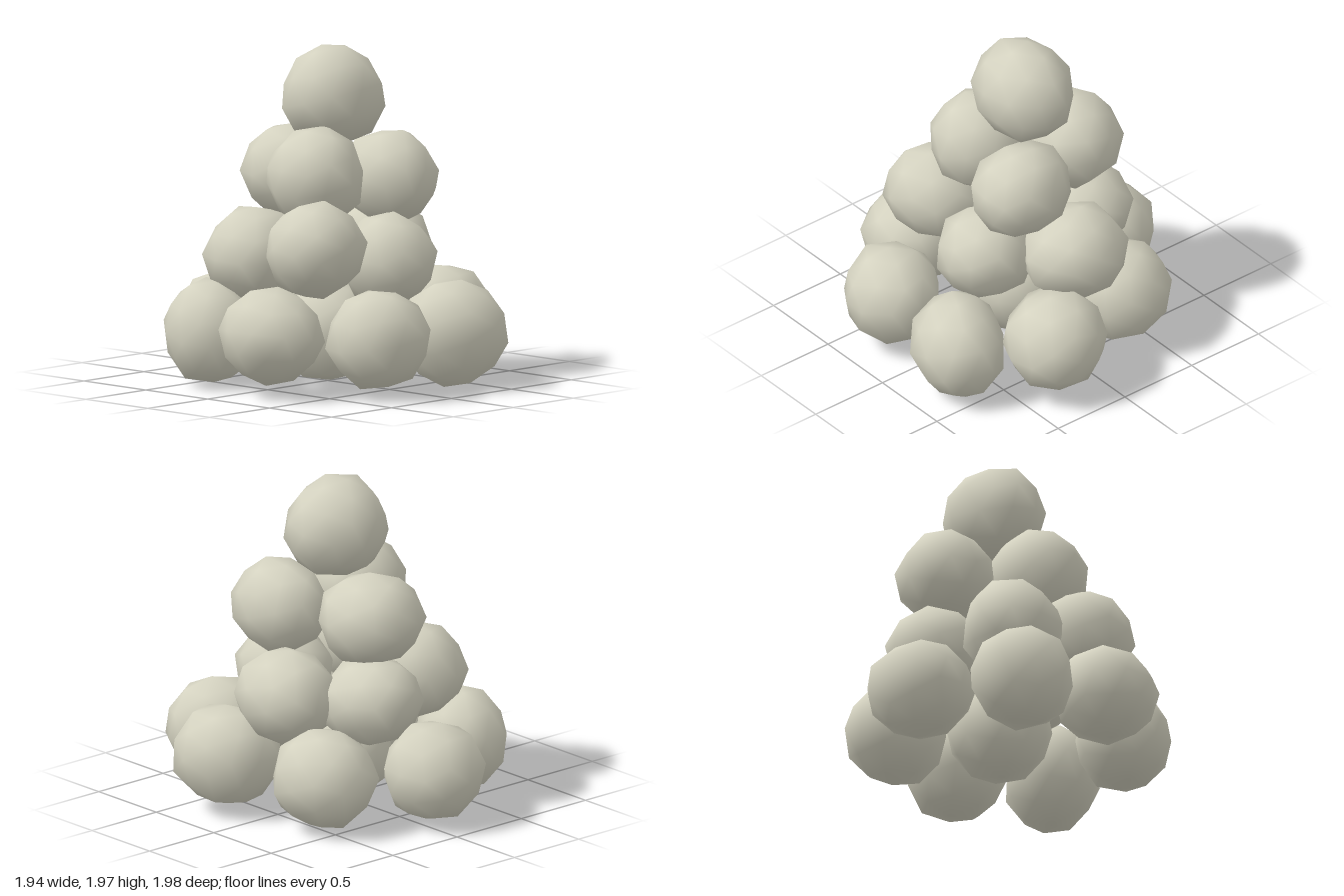
import * as THREE from 'three';
import { mergeVertices } from 'three/addons/utils/BufferGeometryUtils.js';

// Small seeded generator, returns 0..1
function seeded(seed) {
  let s = seed * 7919 + 17;
  return () => {
    s = (s * 16807) % 2147483647;
    return s / 2147483647;
  };
}

// Rough boulder: a low-poly ball with jittered vertices, skewed and fitted to a given size
function boulderGeometry(size, skew, seed) {
  const rand = seeded(seed);
  for (let i = 0; i < 5; i++) rand();
  let geo = new THREE.IcosahedronGeometry(1, 1);
  geo.deleteAttribute('normal');
  geo.deleteAttribute('uv');
  geo = mergeVertices(geo, 1e-3);
  geo.rotateX(rand() * 6.28);
  geo.rotateY(rand() * 6.28);
  geo.rotateZ(rand() * 6.28);
  const pos = geo.attributes.position;
  const v = new THREE.Vector3();
  for (let i = 0; i < pos.count; i++) {
    v.fromBufferAttribute(pos, i).multiplyScalar(0.95 + 0.1 * rand());
    pos.setXYZ(i, v.x + skew * v.z, v.y, v.z);
  }
  geo.center();
  geo.computeBoundingBox();
  const box = geo.boundingBox.getSize(new THREE.Vector3());
  geo.scale(size[0] / box.x, size[1] / box.y, size[2] / box.z);
  geo.computeVertexNormals();
  return geo;
}

// Each boulder: centre x, y, z, then width, height, depth, then skew of x along z
const layers = {
  baseBoulder: [
    [-0.68, 0.36, 0.22, 0.58, 0.57, 0.62, 0],
    [-0.29, 0.35, 0.70, 0.61, 0.57, 0.58, 0.04],
    [0.33, 0.32, 0.70, 0.63, 0.63, 0.57, 0.15],
    [0.67, 0.35, 0.25, 0.60, 0.58, 0.62, 0.07],
    [0.48, 0.32, -0.39, 0.58, 0.57, 0.62, 0.08],
    [-0.08, 0.32, -0.69, 0.61, 0.57, 0.59, -0.06],
    [-0.61, 0.33, -0.37, 0.57, 0.59, 0.58, -0.12],
    [0, 0.31, 0, 0.58, 0.60, 0.58, 0],
  ],
  lowerBoulder: [
    [-0.40, 0.85, 0.28, 0.58, 0.57, 0.60, 0],
    [0.15, 0.73, 0.34, 0.55, 0.58, 0.58, 0],
    [0.48, 0.75, -0.04, 0.57, 0.56, 0.62, 0],
    [0.12, 0.72, -0.40, 0.58, 0.53, 0.58, 0.04],
    [-0.36, 0.76, -0.25, 0.58, 0.56, 0.57, 0],
  ],
  upperBoulder: [
    [-0.22, 1.24, 0.11, 0.58, 0.58, 0.58, 0],
    [0.30, 1.19, 0.20, 0.53, 0.56, 0.58, 0],
    [0.08, 1.20, -0.34, 0.61, 0.55, 0.58, 0.08],
  ],
  topBoulder: [[0.06, 1.68, -0.02, 0.62, 0.58, 0.56, 0]],
};

export function createModel() {
  const pile = new THREE.Group();
  pile.name = 'boulderPile';
  const stone = new THREE.MeshStandardMaterial({ color: 0xd4d2c0 });
  let seed = 1;
  for (const [name, boulders] of Object.entries(layers)) {
    const layer = new THREE.Group();
    layer.name = name + 'Layer';
    boulders.forEach(([x, y, z, w, h, d, skew], i) => {
      const mesh = new THREE.Mesh(boulderGeometry([w, h, d], skew, seed++), stone);
      mesh.name = name + (i + 1);
      mesh.position.set(x, y, z);
      layer.add(mesh);
    });
    pile.add(layer);
  }
  return pile;
}
